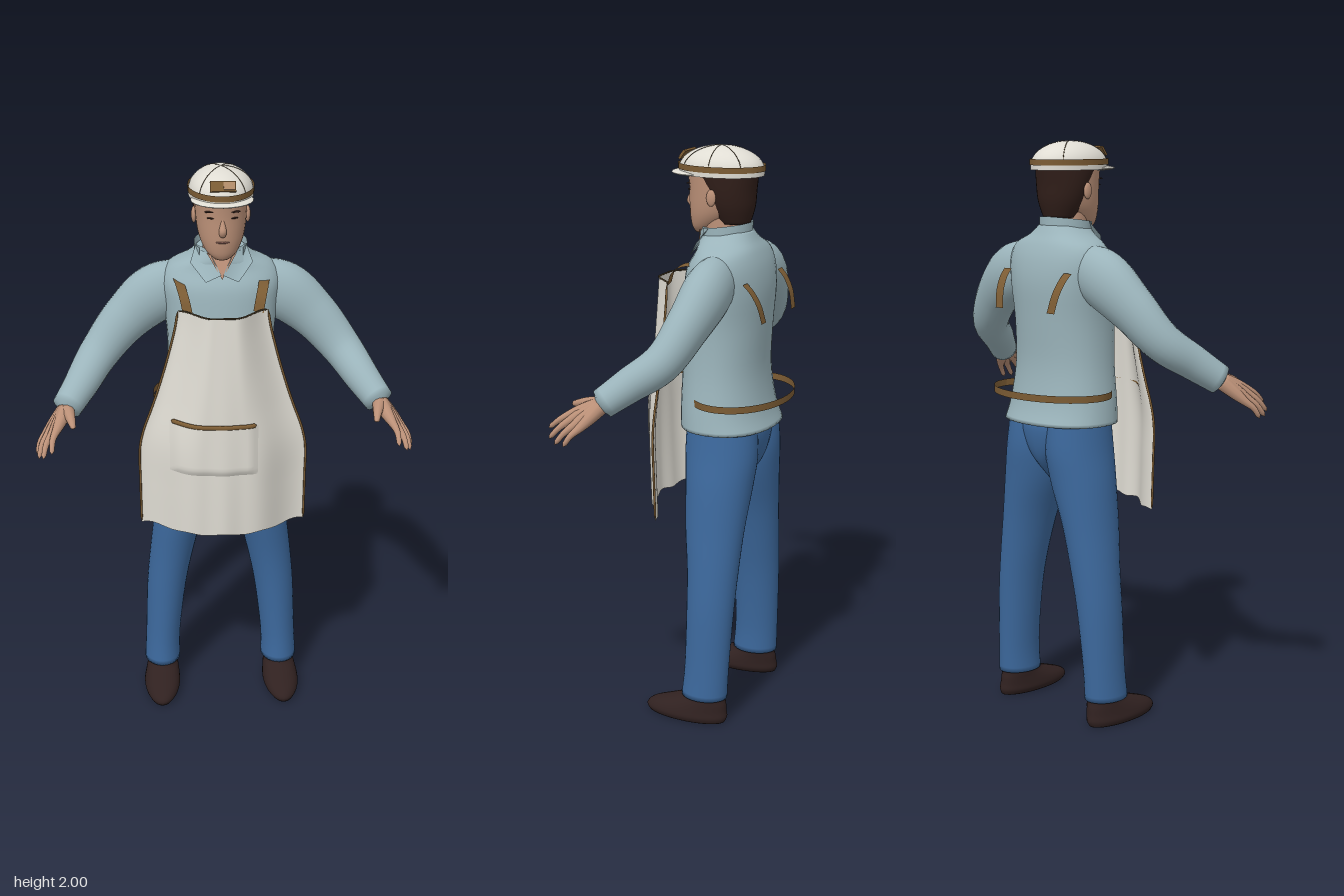
import * as THREE from 'three';
import { mergeVertices } from 'three/addons/utils/BufferGeometryUtils.js';

const V = (a) => new THREE.Vector3(...a);
const mat = (name, color, side = THREE.FrontSide) => {
  const m = new THREE.MeshStandardMaterial({ color, side });
  m.name = name;
  return m;
};

// smooth value through a list at position t in 0..1
function spline(list, t) {
  const f = t * (list.length - 1), i = Math.min(Math.floor(f), list.length - 2), k = f - i;
  const p = (j) => list[Math.max(0, Math.min(list.length - 1, j))];
  const m0 = (p(i + 1) - p(i - 1)) / 2, m1 = (p(i + 2) - p(i)) / 2, d = p(i + 1) - p(i);
  return p(i) + k * m0 + k * k * (3 * d - 2 * m0 - m1) + k * k * k * (m0 + m1 - 2 * d);
}

// closed body from horizontal rings [x, y, z, rx, rz], lowest first
function loft(rings, e = 1, seg = 32) {
  const n = (rings.length - 1) * 4, pos = [], idx = [];
  const pw = (c) => Math.sign(c) * Math.abs(c) ** e;
  for (let i = 0; i <= n; i++) {
    const [x, y, z, rx, rz] = [0, 1, 2, 3, 4].map((k) => spline(rings.map((r) => r[k]), i / n));
    for (let j = 0; j < seg; j++) {
      const a = (j / seg) * Math.PI * 2;
      pos.push(x + rx * pw(Math.cos(a)), y, z + rz * pw(Math.sin(a)));
    }
  }
  const lo = pos.length / 3, first = rings[0], last = rings[rings.length - 1];
  pos.push(...first.slice(0, 3), ...last.slice(0, 3));
  for (let j = 0; j < seg; j++) {
    const k = (j + 1) % seg;
    for (let i = 0; i < n; i++) {
      const a = i * seg + j, b = i * seg + k;
      idx.push(a, a + seg, b, b, a + seg, b + seg);
    }
    idx.push(lo, j, k, lo + 1, n * seg + k, n * seg + j);
  }
  const g = new THREE.BufferGeometry();
  g.setAttribute('position', new THREE.Float32BufferAttribute(pos, 3));
  g.setIndex(idx);
  g.computeVertexNormals();
  return g;
}

// closed tube of varying radius; flat thins its start from front to back
function limb(points, radii, n = 24, seg = 14, flat = 1) {
  const curve = new THREE.CatmullRomCurve3(points.map(V));
  const g = new THREE.TubeGeometry(curve, n, 1, seg, false), p = g.attributes.position, v = new THREE.Vector3();
  for (let i = 0; i <= n; i++) {
    const c = curve.getPointAt(i / n);
    const r = spline(radii, i / n) * (i === 0 || i === n ? 0.05 : 1);
    for (let j = 0; j <= seg; j++) {
      const k = i * (seg + 1) + j;
      v.fromBufferAttribute(p, k).sub(c).multiplyScalar(r);
      v.z *= flat + (1 - flat) * (i / n);
      v.add(c);
      p.setXYZ(k, v.x, v.y, v.z);
    }
  }
  g.deleteAttribute('uv');
  g.deleteAttribute('normal');
  const merged = mergeVertices(g, 1e-5);
  merged.computeVertexNormals();
  return merged;
}

// sheet from a rule of u in -1..1 and v in 0..1
function sheet(rule, nu, nv) {
  const g = new THREE.PlaneGeometry(2, 1, nu, nv), p = g.attributes.position;
  for (let i = 0; i < p.count; i++) p.setXYZ(i, ...rule(p.getX(i), p.getY(i) + 0.5));
  g.computeVertexNormals();
  return g;
}

// flat band along a path, widened along a fixed direction
function ribbon(points, w) {
  const curve = new THREE.CatmullRomCurve3(points.map(V));
  return sheet((u, v) => curve.getPoint((u + 1) / 2).addScaledVector(V(w), v - 0.5).toArray(), 48, 1);
}

// flat fan through corner points
function patch(points) {
  const g = new THREE.BufferGeometry();
  g.setAttribute('position', new THREE.Float32BufferAttribute(points.flat(), 3));
  g.setIndex(points.slice(2).flatMap((_, i) => [0, i + 1, i + 2]));
  g.computeVertexNormals();
  return g;
}

// apron shape: half width by height, and bulge toward the front
const apronWidth = (y) => spline([0.287, 0.288, 0.284, 0.232, 0.185, 0.151], (y - 0.745) / 0.8);
function apronZ(x, y) {
  const u = Math.min(1, Math.abs(x) / apronWidth(y)), v = (y - 0.745) / 0.8;
  const edge = 0.062 + 0.018 * v, front = 0.165 + 0.018 * Math.sin(Math.PI * (0.2 + 0.8 * v));
  const fold = 0.008 * Math.cos(x * 42) * (1 - v) * (1 - u);
  return edge + (front - edge) * (1 - THREE.MathUtils.smoothstep(u, 0.25, 1)) + fold;
}
const apronPoint = (u, v) => {
  const y = 0.745 + 0.8 * v, x = u * apronWidth(y);
  return [x, y + 0.004 * (1 - v) * Math.cos(u * 14), apronZ(x, y)];
};

export function createModel() {
  const root = new THREE.Group();
  const shirt = mat('shirt blue', 0x9bb4bb, THREE.DoubleSide), denim = mat('denim', 0x3c689c);
  const canvas = mat('canvas', 0xe0ddd4, THREE.DoubleSide), leather = mat('leather', 0x7c5c34, THREE.DoubleSide);
  const skin = mat('skin', 0xbc9178, THREE.DoubleSide), lip = mat('lip', 0x9a6c60);
  const hair = mat('hair', 0x301e19), shoe = mat('shoe leather', 0x302120);
  const tan = mat('tan patch', 0xb08a68), seam = mat('seam', 0x4a3d28);
  const add = (name, geo, m) => {
    const o = new THREE.Mesh(geo, m);
    o.name = name;
    root.add(o);
    return o;
  };
  const blob = (name, m, pos, size) => {
    const o = add(name, new THREE.SphereGeometry(1, 24, 16), m);
    o.position.set(...pos);
    o.scale.set(...size);
  };

  // shirt and trousers
  add('shirtBody', loft([[0, 1.05, -0.095, 0.213, 0.162], [0, 1.12, -0.082, 0.203, 0.15], [0, 1.25, -0.075, 0.187, 0.14],
    [0, 1.4, -0.077, 0.184, 0.145], [0, 1.52, -0.087, 0.197, 0.142], [0, 1.6, -0.09, 0.205, 0.13],
    [0, 1.655, -0.095, 0.18, 0.106], [0, 1.69, -0.085, 0.115, 0.095], [0, 1.72, -0.08, 0.08, 0.083]], 0.9), shirt);
  add('trouserSeat', loft([[0, 0.85, -0.1, 0.012, 0.05], [0, 0.91, -0.1, 0.06, 0.1], [0, 0.97, -0.1, 0.13, 0.122],
    [0, 1.04, -0.098, 0.18, 0.13], [0, 1.08, -0.09, 0.17, 0.12]]), denim);

  // neck, head and hair
  add('neck', loft([[0, 1.6, -0.07, 0.065, 0.065], [0, 1.7, -0.06, 0.062, 0.065], [0, 1.79, -0.05, 0.062, 0.07]]), skin);
  add('head', loft([[0, 1.705, 0.012, 0.026, 0.03], [0, 1.725, 0.002, 0.05, 0.05], [0, 1.76, -0.022, 0.07, 0.08],
    [0, 1.8, -0.04, 0.081, 0.1], [0, 1.86, -0.05, 0.087, 0.111], [0, 1.94, -0.05, 0.09, 0.12]]), skin);
  add('hair', loft([[0, 1.745, -0.1, 0.055, 0.055], [0, 1.8, -0.09, 0.08, 0.08],
    [0, 1.86, -0.08, 0.092, 0.095], [0, 1.93, -0.06, 0.096, 0.125]]), hair);
  add('nose', limb([[0, 1.855, 0.053], [0, 1.825, 0.06], [0, 1.803, 0.063], [0, 1.796, 0.05]], [0.004, 0.008, 0.013, 0.01], 12), skin);
  blob('mouth', lip, [0, 1.771, 0.052], [0.024, 0.005, 0.01]);

  // collar band and open neckline
  const arc = Array.from({ length: 13 }, (_, i) => {
    const a = Math.PI * (-0.2 + (1.4 * i) / 12);
    return [0.09 * Math.cos(a), 1.71 + 0.012 * Math.sin(a), -0.07 - 0.09 * Math.sin(a)];
  });
  add('collarBand', ribbon(arc, [0, 0.055, 0]), shirt);
  add('openNeck', patch([[-0.05, 1.72, 0.006], [0, 1.635, 0.036], [0.05, 1.72, 0.006]]), skin);

  for (const s of [1, -1]) {
    const side = s > 0 ? 'left' : 'right', mir = (pts) => pts.map(([x, y, z]) => [x * s, y, z]);
    add(side + 'Sleeve', limb(mir([[0.09, 1.575, -0.1], [0.2, 1.555, -0.105], [0.32, 1.465, -0.088], [0.42, 1.352, -0.04],
      [0.48, 1.28, 0.05], [0.54, 1.212, 0.135]]), [0.085, 0.1, 0.084, 0.07, 0.06, 0.05], 36, 24, 0.72), shirt);

    // fingers run from the wrist so they form the palm together
    const knuckle = [[0.56, 1.187, 0.215], [0.575, 1.172, 0.21], [0.59, 1.16, 0.19], [0.6, 1.152, 0.17]];
    const tip = [[0.578, 1.13, 0.297], [0.608, 1.105, 0.28], [0.624, 1.093, 0.25], [0.63, 1.092, 0.215]];
    knuckle.forEach((k, i) => {
      const mid = [0, 1, 2].map((c) => (k[c] + tip[i][c]) / 2 + (c < 2 ? 0.006 : 0));
      add(side + 'Finger' + (i + 1), limb(mir([[0.53, 1.222, 0.12], k, mid, tip[i]]), [0.028, 0.022, 0.012, 0.008], 16, 10), skin);
    });
    add(side + 'Thumb', limb(mir([[0.53, 1.222, 0.13], [0.517, 1.215, 0.19], [0.505, 1.2, 0.25]]), [0.025, 0.017, 0.009], 12, 10), skin);

    // legs and shoes
    add(side + 'TrouserLeg', loft([[0.22, 0.09, -0.093, 0.066, 0.084], [0.216, 0.2, -0.1, 0.064, 0.081],
      [0.2, 0.4, -0.105, 0.072, 0.085], [0.178, 0.55, -0.105, 0.08, 0.092], [0.15, 0.7, -0.1, 0.09, 0.106],
      [0.115, 0.85, -0.1, 0.107, 0.12], [0.096, 0.96, -0.1, 0.106, 0.13], [0.09, 1.07, -0.098, 0.095, 0.126]]
      .map(([x, ...r]) => [x * s, ...r])), denim);
    add(side + 'Shoe', loft([[0, -0.025, 0.056, 0.148], [0.018, -0.025, 0.066, 0.156], [0.04, -0.035, 0.064, 0.143],
      [0.065, -0.068, 0.058, 0.107], [0.085, -0.09, 0.054, 0.08], [0.125, -0.097, 0.05, 0.072]].map((r, i) => [s * (0.226 - i * 0.002), ...r])), shoe);

    // face
    blob(side + 'Ear', skin, [s * 0.09, 1.835, -0.055], [0.009, 0.028, 0.017]);
    blob(side + 'Brow', hair, [s * 0.037, 1.873, 0.047], [0.023, 0.003, 0.009]);
    blob(side + 'Eye', hair, [s * 0.035, 1.852, 0.046], [0.016, 0.003, 0.009]);

    // collar wing
    add(side + 'CollarWing', patch(mir([[0.085, 1.735, -0.045], [0.045, 1.73, 0.002], [0.003, 1.65, 0.037],
      [0.055, 1.628, 0.042], [0.105, 1.683, -0.006]])), shirt);

    // shoulder straps
    add(side + 'FrontStrap', ribbon(mir([[0.118, 1.538, 0.088], [0.128, 1.583, 0.068], [0.138, 1.61, 0.03], [0.146, 1.622, -0.02]]), [0.034, -0.008, 0]), leather);
    add(side + 'BackStrap', ribbon(mir([[0.145, 1.57, -0.205], [0.142, 1.545, -0.228], [0.135, 1.5, -0.252], [0.125, 1.44, -0.266]]), [0.036, 0, 0]), leather);

    // apron side trim
    const edge = Array.from({ length: 14 }, (_, i) => apronPoint(s, i / 13));
    add(side + 'ApronTrim', limb(edge, [0.004, 0.004], 40, 8), leather);
  }

  // apron with pocket
  add('apron', sheet(apronPoint, 48, 36), canvas);
  add('apronTopTrim', limb(Array.from({ length: 15 }, (_, i) => apronPoint(i / 7 - 1, 1)), [0.003, 0.003], 40, 8), seam);
  add('pocket', sheet((u, v) => {
    const x = -0.035 + u * 0.15, y = 0.98 + v * 0.18;
    const puff = Math.min(1, 6 * (1 - Math.abs(u)), 10 * v);
    return [x, y, apronZ(x, y) + 0.002 + 0.01 * puff];
  }, 24, 16), canvas);
  const rim = Array.from({ length: 12 }, (_, i) => {
    const x = -0.18 + (i / 11) * 0.29;
    return [x, 1.163, apronZ(x, 1.163) + 0.008];
  });
  add('pocketTrim', limb(rim, [0.008, 0.008], 32, 8), leather);

  // loose waist tie around the body
  const tie = Array.from({ length: 25 }, (_, i) => {
    const a = (Math.PI * i) / 12;
    return [0.235 * Math.cos(a), 1.155, -0.136 - 0.166 * Math.sin(a)];
  });
  add('waistTie', ribbon(tie, [0, 0.024, 0]), leather);

  // cap
  const cz = -0.052;
  const crown = add('capCrown', new THREE.SphereGeometry(1, 36, 16, 0, Math.PI * 2, 0, Math.PI / 2), canvas);
  crown.scale.set(0.108, 0.08, 0.15);
  crown.position.set(0, 1.92, cz);
  for (const [name, m, y, h, k] of [['capRim', canvas, 1.913, 0.018, 1], ['capBand', leather, 1.93, 0.02, 1.025]]) {
    const o = add(name, new THREE.CylinderGeometry(1, 1, h, 36, 1, true), m);
    o.scale.set(0.108 * k, 1, 0.15 * k);
    o.position.set(0, y, cz);
  }
  blob('capBrim', canvas, [0, 1.908, 0.025], [0.104, 0.011, 0.098]);
  // four diagonal seams and one on the left
  [0.25, 0.5, 0.75, 1.25, 1.75].forEach((turn, i) => {
    const a = turn * Math.PI;
    const line = Array.from({ length: 8 }, (_, j) => {
      const t = (j / 7) * 1.4;
      return [0.108 * Math.sin(t) * Math.sin(a), 1.92 + 0.08 * Math.cos(t), cz + 0.15 * Math.sin(t) * Math.cos(a)];
    });
    add('capSeam' + (i + 1), limb(line, [0.0013, 0.0013], 16, 6), seam);
  });
  blob('capButton', canvas, [0, 1.997, cz], [0.007, 0.003, 0.007]);
  for (const [name, m, x, w, h, z] of [['capPatch', leather, 0, 0.084, 0.036, 0.076], ['capPatchInset', tan, 0.02, 0.036, 0.026, 0.078]]) {
    const o = add(name, new THREE.BoxGeometry(w, h, 0.008), m);
    o.position.set(x, x ? 1.967 : 1.965, z);
    o.rotation.x = -0.65;
  }
  return root;
}
